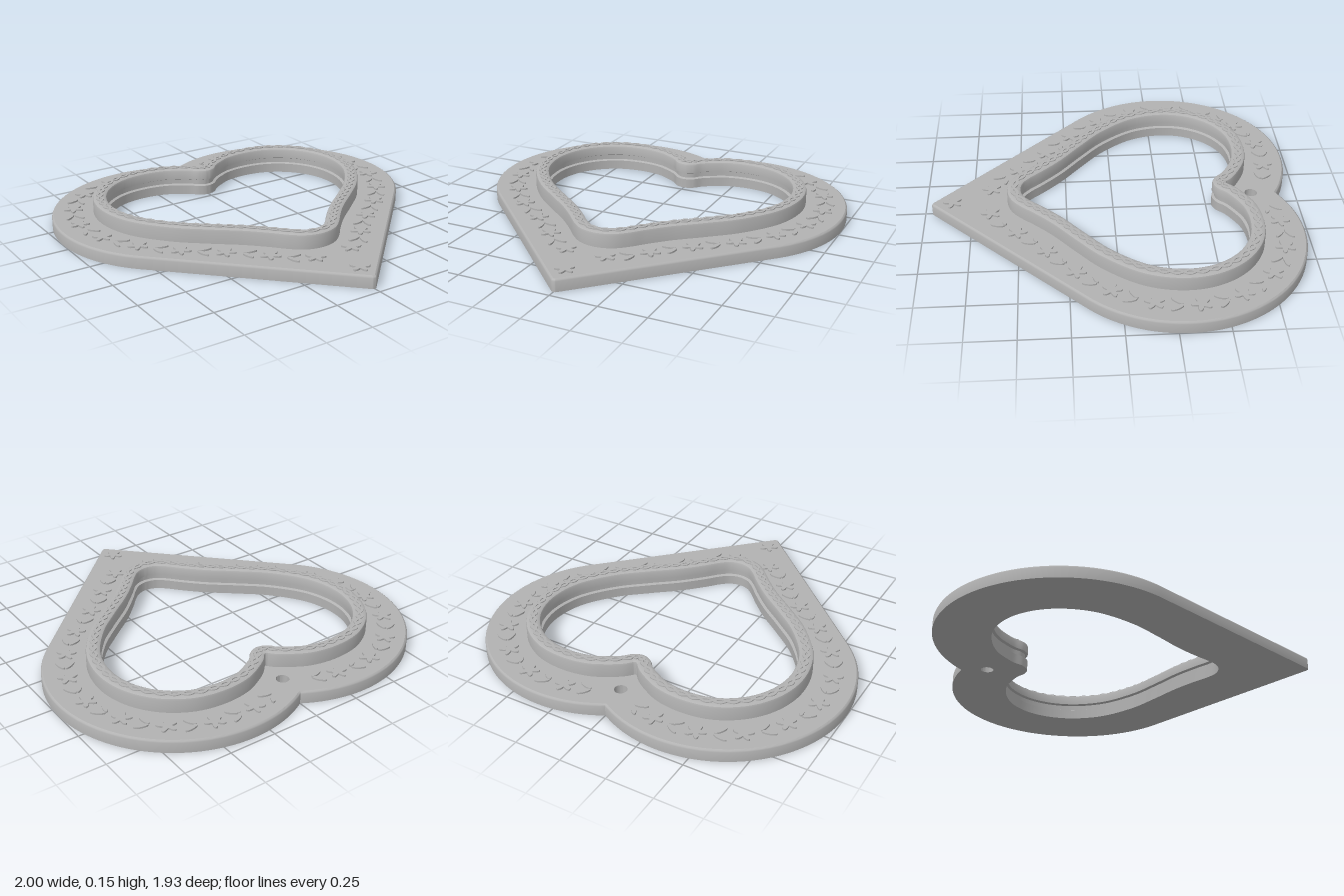
import * as THREE from 'three';
import { toCreasedNormals } from 'three/addons/utils/BufferGeometryUtils.js';

const V2 = (x, z) => new THREE.Vector2(x, z);

// Closed outline (x, z) from its right half, notch first and tip last
function mirrorHalf(half) {
  const left = half.slice(1, -1).reverse().map(p => V2(-p.x, p.y));
  return [...half, ...left];
}

// Outer heart: lobe arc, straight 45 degree side, small rounded tip
function heartOutline() {
  const cx = 0.335, cz = -0.305, r = 0.665, tip = 0.02, half = [];
  const start = -Math.PI + Math.acos(cx / r), end = Math.PI / 4;
  for (let i = 0; i <= 90; i++) {
    const a = start + (end - start) * i / 90;
    half.push(V2(cx + r * Math.cos(a), cz + r * Math.sin(a)));
  }
  half[0].x = 0;
  const tz = cx + cz + (r - tip) * Math.SQRT2;
  for (let i = 0; i <= 6; i++) {
    const a = Math.PI / 4 * (1 + i / 6);
    half.push(V2(tip * Math.cos(a), tz + tip * Math.sin(a)));
  }
  half[half.length - 1].x = 0;
  return mirrorHalf(half);
}

// Softer heart opening
function openingOutline() {
  const half = [[0, -.53], [.05, -.547], [.09, -.588], [.15, -.627], [.22, -.66], [.34, -.676],
    [.475, -.653], [.595, -.575], [.672, -.46], [.70, -.32], [.665, -.15], [.54, .03],
    [.40, .155], [.26, .27], [.16, .37], [.1, .437], [.055, .473], [0, .486]].map(p => V2(...p));
  const curve = new THREE.CatmullRomCurve3(mirrorHalf(half).map(p => new THREE.Vector3(p.x, 0, p.y)), true);
  return curve.getSpacedPoints(480).slice(0, -1).map(p => V2(p.x, p.z));
}

// Move an outline outward by d, which may vary along it
function offset(path, d) {
  const n = path.length;
  return path.map((p, i) => {
    const t = path[(i + 1) % n].clone().sub(path[(i + n - 1) % n]).normalize();
    const k = typeof d === 'function' ? d(i / n) : d;
    return V2(p.x + t.y * k, p.y - t.x * k);
  });
}

// Sweep a profile of [offset, height] points around an outline
function sweep(path, profile, wobble = () => 0) {
  const n = path.length, pos = [], idx = [];
  profile.forEach(([d, y]) => offset(path, u => d + wobble(u)).forEach(p => pos.push(p.x, y, p.y)));
  for (let j = 0; j < profile.length - 1; j++) for (let i = 0; i < n; i++) {
    const a = j * n + i, b = j * n + (i + 1) % n;
    idx.push(a, a + n, b, b, a + n, b + n);
  }
  const g = new THREE.BufferGeometry();
  g.setAttribute('position', new THREE.Float32BufferAttribute(pos, 3));
  g.setIndex(idx);
  return toCreasedNormals(g, 0.6);
}

// Flat face with holes, looking up or down
function flatFace(outer, holes, y, up) {
  const s = up ? -1 : 1, flip = pts => pts.map(p => V2(p.x, s * p.y));
  const shape = new THREE.Shape(flip(outer));
  shape.holes = holes.map(h => new THREE.Path(flip(h)));
  return new THREE.ShapeGeometry(shape).rotateX(s * Math.PI / 2).translate(0, y, 0);
}

// Thin raised ornament lying on the base
const relief = shapes => new THREE.ExtrudeGeometry(shapes, { depth: 0.011, bevelEnabled: false })
  .rotateX(-Math.PI / 2);

export function createModel() {
  const model = new THREE.Group();
  const grey = new THREE.MeshStandardMaterial({ color: 0xb2b2b2 });
  grey.name = 'grey';
  const add = (name, geometry, parent = model) => {
    const m = new THREE.Mesh(geometry, grey);
    m.name = name;
    parent.add(m);
    return m;
  };

  const heart = heartOutline(), opening = openingOutline(), top = 0.066;
  const hangHole = [];
  for (let i = 0; i < 32; i++) {
    const a = i / 32 * Math.PI * 2;
    hangHole.push(V2(0.033 * Math.cos(a), -0.742 + 0.033 * Math.sin(a)));
  }

  // Base plate
  add('baseEdge', sweep(heart, [[0, 0], [0, .054], [-.003, .061], [-.01, top]]));
  add('baseTop', flatFace(offset(heart, -.01), [offset(opening, .07), hangHole], top, true));
  add('baseUnderside', flatFace(heart, [opening, hangHole], 0, false));
  add('hangingHoleWall', sweep(hangHole, [[0, top], [0, 0]]));

  // Raised rim with a groove inside the opening
  add('rim', sweep(opening, [[.075, .06], [.075, .132], [.072, .141], [.062, .147], [.014, .147],
    [.004, .141], [0, .132], [0, .09], [.014, .084], [.014, .058], [0, .052], [0, 0]]));

  // Two wavy strands twisted along the rim
  [0, Math.PI].forEach((phase, i) => add('rimStrand' + (i + 1),
    sweep(opening, [[.045, .146], [.045, .152], [.031, .152], [.031, .146]],
      u => 0.013 * Math.sin(u * Math.PI * 2 * 36 + phase))));

  // Five-petal flowers and paired leaves
  const petals = [];
  for (let i = 0; i < 50; i++) {
    const a = i / 50 * Math.PI * 2, r = 0.038 + 0.015 * Math.cos(5 * a);
    petals.push(V2(r * Math.cos(a), r * Math.sin(a)));
  }
  const flower = relief([new THREE.Shape(petals)]);
  const leaves = relief([1, -1].map(s => new THREE.Shape(
    new THREE.EllipseCurve(.004, s * .024, .036, .012, 0, Math.PI * 2, false, s * 0.6).getPoints(20).slice(0, -1))));

  const ornaments = new THREE.Group();
  ornaments.name = 'ornaments';
  model.add(ornaments);
  const place = (geometry, name, x, z, tx, tz) => {
    const m = add(name, geometry, ornaments);
    m.position.set(x, top - 0.002, z);
    m.rotation.y = -Math.atan2(tz, tx);
  };
  const band = offset(opening, .18).slice(0, 241).filter(p => p.x > .14 || p.y > 0);
  const curve = new THREE.CatmullRomCurve3(band.map(p => new THREE.Vector3(p.x, 0, p.y)));
  const count = 22;
  for (let i = 0; i < count; i++) {
    const p = curve.getPointAt(i / count), t = curve.getTangentAt(i / count);
    const [g, name] = i % 2 ? [flower, 'flower'] : [leaves, 'leafPair'];
    for (const s of [1, -1]) place(g, name, s * p.x, p.z, s * t.x, t.z);
  }
  place(flower, 'tipFlower', 0, 0.85, 0, 1);

  return model;
}
